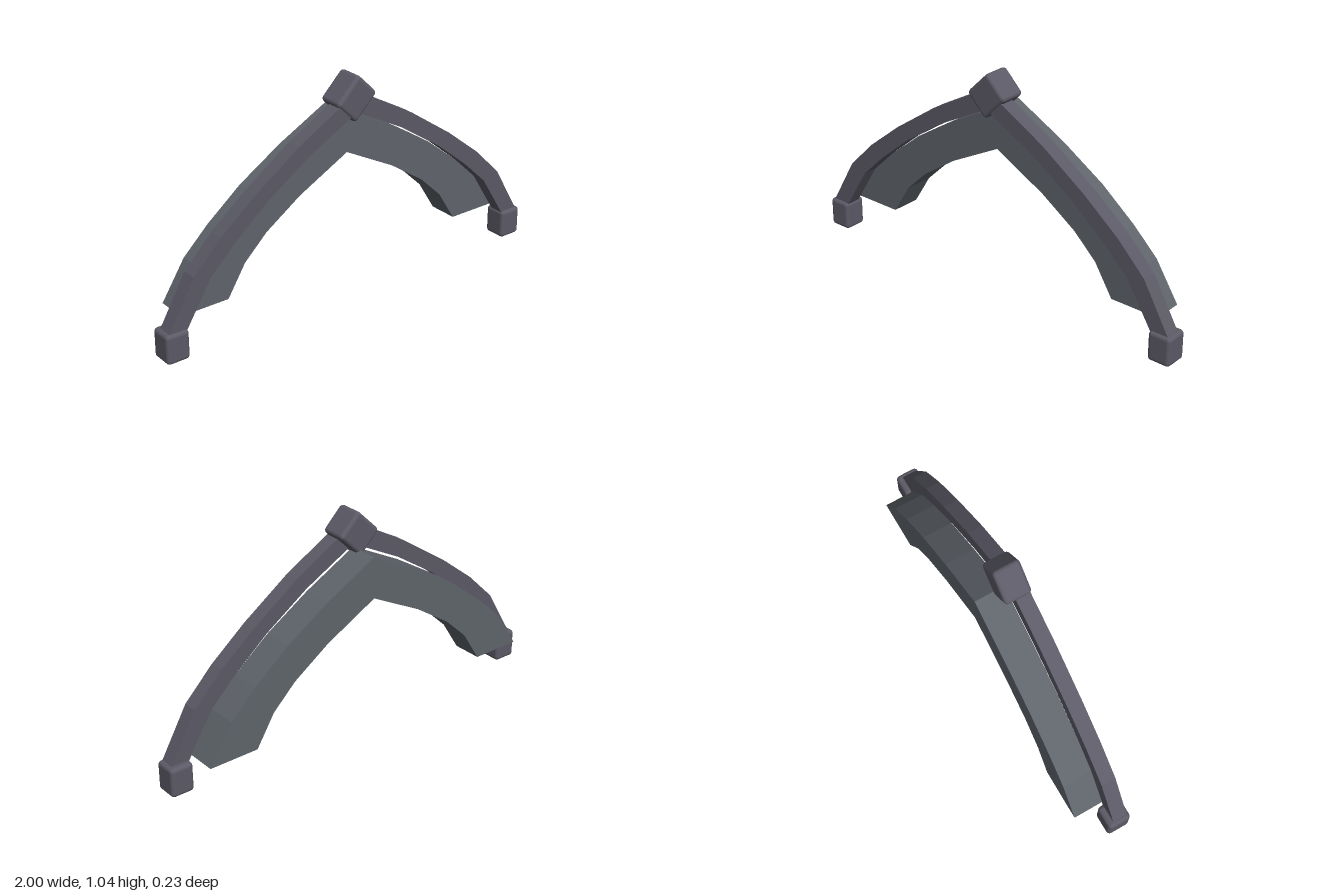
import * as THREE from 'three';
import { RoundedBoxGeometry } from 'three/addons/geometries/RoundedBoxGeometry.js';

const paint = (color) => new THREE.MeshStandardMaterial({ color });

// Symmetric arch band: half profiles run from the foot up to the apex on x = 0
function archBand(name, outer, inner, zBack, zFront, material) {
  const mirrored = (half) => [
    ...half.map(([x, y]) => new THREE.Vector2(-x, y)),
    ...half.slice(0, -1).reverse().map(([x, y]) => new THREE.Vector2(x, y)),
  ];
  const shape = new THREE.Shape([...mirrored(outer), ...mirrored(inner).reverse()]);
  const geometry = new THREE.ExtrudeGeometry(shape, { depth: zFront - zBack, bevelEnabled: false });
  geometry.translate(0, 0, zBack);
  const mesh = new THREE.Mesh(geometry, material);
  mesh.name = name;
  return mesh;
}

function roundedBlock(name, size, position, material) {
  const mesh = new THREE.Mesh(new RoundedBoxGeometry(...size, 4, 0.018), material);
  mesh.name = name;
  mesh.position.set(...position);
  return mesh;
}

export function createModel() {
  const model = new THREE.Group();
  model.name = 'archedGable';
  const trim = paint(0x5b5a66);
  const stone = paint(0x5f646b);

  // Narrow rail along the front
  model.add(archBand('frontRail',
    [[0.985, 0.13], [0.85, 0.365], [0.71, 0.505], [0.535, 0.645], [0.31, 0.8], [0.096, 0.92], [0, 0.97]],
    [[0.895, 0.13], [0.765, 0.34], [0.64, 0.46], [0.47, 0.6], [0.257, 0.742], [0, 0.878]],
    0.03, 0.1, trim));

  // Broad arch behind it
  model.add(archBand('rearArch',
    [[0.88, 0.16], [0.765, 0.34], [0.64, 0.46], [0.47, 0.596], [0.257, 0.73], [0, 0.866]],
    [[0.64, 0.16], [0.55, 0.305], [0.435, 0.415], [0.257, 0.535], [0, 0.67]],
    -0.113, 0.03, stone));

  // Blocks at the two ends
  for (const [side, name] of [[1, 'leftFoot'], [-1, 'rightFoot']]) {
    model.add(roundedBlock(name, [0.112, 0.14, 0.112], [side * 0.944, 0.07, 0.057], trim));
  }

  // Diamond block at the apex
  const cap = roundedBlock('apexBlock', [0.164, 0.144, 0.128], [0, 0.94, 0.043], trim);
  cap.rotation.z = Math.PI / 4;
  model.add(cap);
  return model;
}
